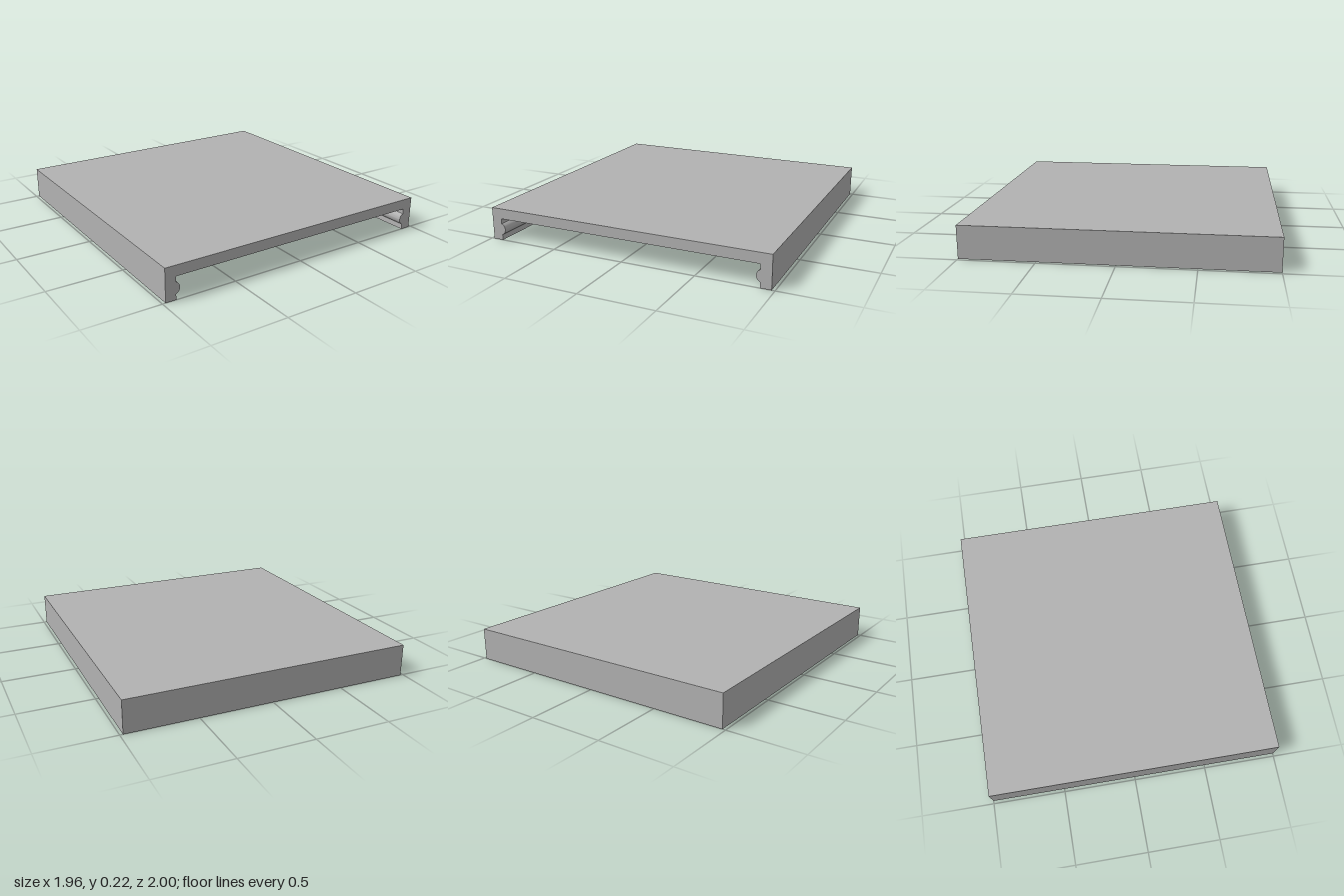
import * as THREE from 'three';
import { toCreasedNormals } from 'three/addons/utils/BufferGeometryUtils.js';

const HALF_W = 0.98, HEIGHT = 0.22, WALL = 0.07;
const INNER = HALF_W - WALL, CEILING = 0.15;
const BEAD_Y = 0.076, BEAD_HALF = 0.039, BEAD_DEPTH = 0.026, FILLET = 0.006;

// Inner outline of the +x wall, from the foot up to the ceiling, with the snap bead
function innerWallPoints() {
  const r = (BEAD_HALF ** 2 + BEAD_DEPTH ** 2) / (2 * BEAD_DEPTH);
  const cx = INNER - BEAD_DEPTH + r;
  const sweep = Math.asin(BEAD_HALF / r);
  const pts = [[INNER, 0]];
  for (let i = 0; i <= 16; i++) {
    const a = -sweep + (2 * sweep * i) / 16;
    pts.push([cx - r * Math.cos(a), BEAD_Y + r * Math.sin(a)]);
  }
  // Small rounded corner under the top panel
  for (let i = 0; i <= 4; i++) {
    const a = (i / 4) * Math.PI / 2;
    pts.push([INNER - FILLET + FILLET * Math.cos(a), CEILING - FILLET + FILLET * Math.sin(a)]);
  }
  return pts;
}

export function createModel() {
  const group = new THREE.Group();
  group.name = 'slidingLid';
  const grey = new THREE.MeshStandardMaterial({ color: 0xb2b2b2 });
  grey.name = 'grey plastic';

  // Top panel and both side walls as one channel section, open at the front
  const right = innerWallPoints();
  const left = right.map(([x, y]) => [-x, y]).reverse();
  const outline = [
    [-HALF_W, 0], ...left.slice().reverse(), ...right.slice().reverse(),
    [HALF_W, 0], [HALF_W, HEIGHT], [-HALF_W, HEIGHT],
  ];
  const shape = new THREE.Shape(outline.map(([x, y]) => new THREE.Vector2(x, y)));
  const channelGeo = new THREE.ExtrudeGeometry(shape, { depth: 2 - WALL, bevelEnabled: false });
  channelGeo.translate(0, 0, -1 + WALL);
  const channel = new THREE.Mesh(toCreasedNormals(channelGeo, Math.PI / 6), grey);
  channel.name = 'topPanelAndSideWalls';
  group.add(channel);

  // Closed back wall
  const back = new THREE.Mesh(new THREE.BoxGeometry(2 * HALF_W, HEIGHT, WALL), grey);
  back.position.set(0, HEIGHT / 2, -1 + WALL / 2);
  back.name = 'backWall';
  group.add(back);

  return group;
}
